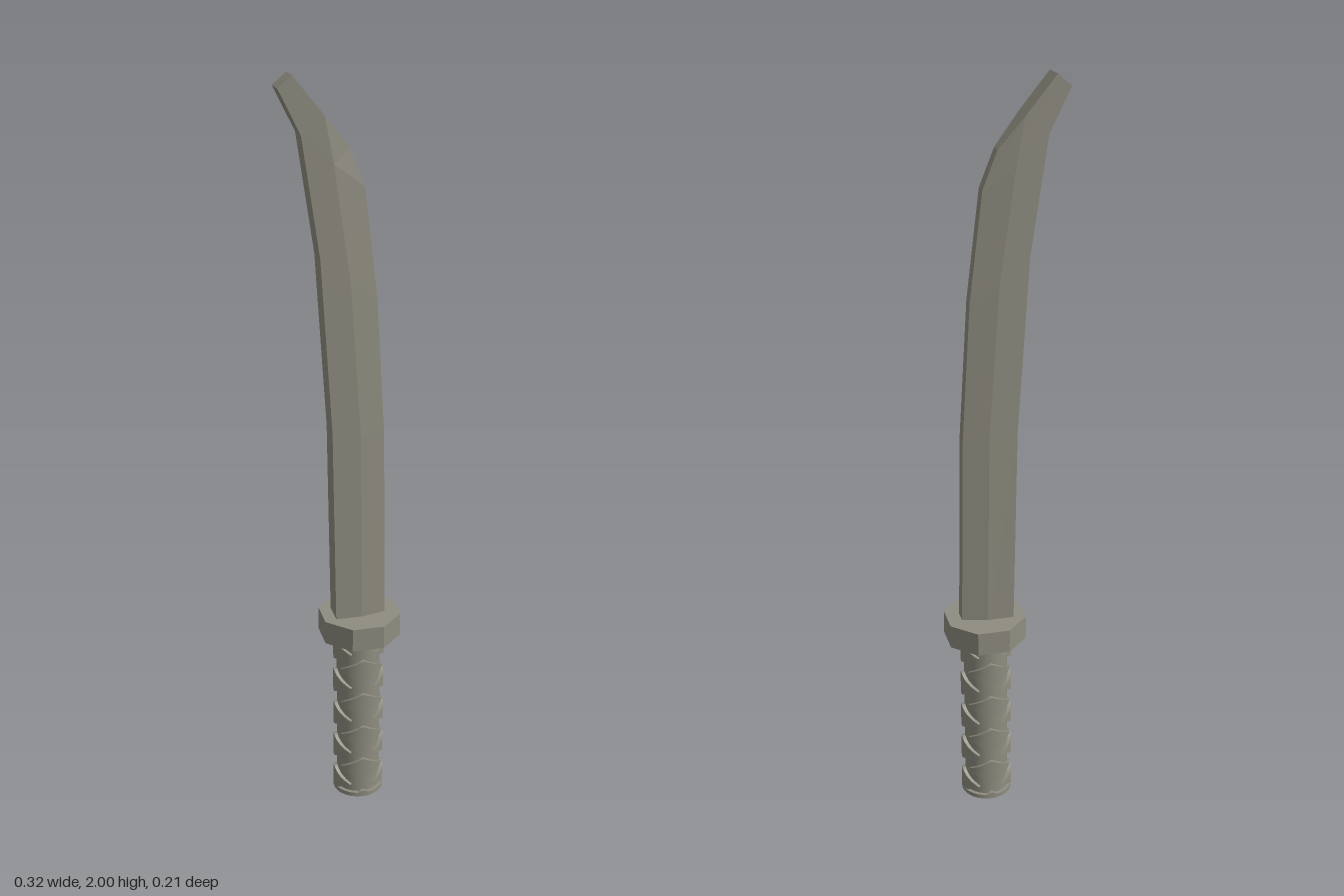
import * as THREE from 'three';

const AXIS_X = 0.05; // centre line of the grip
const HANDLE_TOP = 0.5;

const smooth = new THREE.MeshStandardMaterial({ color: 0x8f8d80 });
const flat = new THREE.MeshStandardMaterial({ color: 0x8f8d80, flatShading: true });

function add(parent, name, geometry, material) {
  const mesh = new THREE.Mesh(geometry, material);
  mesh.name = name;
  parent.add(mesh);
  return mesh;
}

// Blade: six-sided cross-sections, thick at the spine and bevelled to the edge
function bladeGeometry() {
  const T = 0.035, E = 0.018;
  // spine [x, y], ridge [x, y], edge [x, y], half thickness at the edge
  const stations = [
    [[-0.02, 0.52], [0.052, 0.52], [0.12, 0.52], E],
    [[-0.03, 1.1], [0.045, 1.09], [0.112, 1.08], E],
    [[-0.06, 1.56], [0.017, 1.5], [0.09, 1.45], E],
    [[-0.105, 1.86], [-0.025, 1.79], [0.056, 1.73], E],
    [[-0.105, 1.86], [-0.047, 1.905], [0.018, 1.825], E],
    [[-0.105, 1.86], [-0.047, 1.905], [-0.047, 1.905], T],
    [[-0.16, 1.97], [-0.125, 2], [-0.125, 2], T],
  ];
  const positions = [], index = [];
  for (const [s, r, e, t] of stations) {
    positions.push(...s, -T, ...r, -T, ...e, -t, ...e, t, ...r, T, ...s, T);
  }
  for (let i = 0; i < stations.length - 1; i++) {
    for (let j = 0; j < 6; j++) {
      const a = i * 6 + j, b = i * 6 + (j + 1) % 6;
      index.push(b, a, a + 6, b, a + 6, b + 6);
    }
  }
  // end caps
  const last = (stations.length - 1) * 6;
  for (let j = 1; j < 5; j++) {
    index.push(0, j, j + 1, last, last + j + 1, last + j);
  }
  const g = new THREE.BufferGeometry();
  g.setAttribute('position', new THREE.Float32BufferAttribute(positions, 3));
  g.setIndex(index);
  g.computeVertexNormals();
  return g;
}

// Raised diamond of the grip wrap, bent round the handle and cut at its ends
function diamondGeometry(angle, yc) {
  const halfAngle = Math.PI / 3, halfHeight = 0.036;
  const g = new THREE.BoxGeometry(2, 2, 1, 12, 1, 1);
  const p = g.attributes.position;
  for (let i = 0; i < p.count; i++) {
    const u = p.getX(i);
    const a = angle + u * halfAngle;
    const r = p.getZ(i) > 0 ? 0.07 : 0.05;
    const y = yc + p.getY(i) * halfHeight * (1 - Math.abs(u));
    p.setXYZ(i, r * Math.sin(a), THREE.MathUtils.clamp(y, 0, HANDLE_TOP), r * Math.cos(a));
  }
  g.computeVertexNormals();
  return g;
}

export function createModel() {
  const sword = new THREE.Group();
  sword.name = 'sword';

  add(sword, 'blade', bladeGeometry(), flat);

  // Octagonal guard
  const guard = add(sword, 'guard',
    new THREE.CylinderGeometry(0.1137, 0.1137, 0.065, 8).rotateY(Math.PI / 8), flat);
  guard.position.set(AXIS_X + 0.002, 0.5275, 0);

  // Handle: plain core with staggered rows of diamonds leaving crossed grooves
  const handle = new THREE.Group();
  handle.name = 'handle';
  handle.position.x = AXIS_X;
  sword.add(handle);
  add(handle, 'handleCore',
    new THREE.CylinderGeometry(0.06, 0.06, HANDLE_TOP, 32), smooth).position.y = HANDLE_TOP / 2;
  add(handle, 'pommel', new THREE.CylinderGeometry(0.07, 0.07, 0.012, 32), smooth).position.y = 0.006;

  const pitch = 0.105;
  for (let side = 0; side < 4; side++) {
    const facesFront = side % 2 === 0;
    const start = facesFront ? -0.0165 : 0.036;
    const rows = facesFront ? 6 : 5;
    for (let k = 0; k < rows; k++) {
      add(handle, 'wrapDiamond', diamondGeometry(side * Math.PI / 2, start + k * pitch), smooth);
    }
  }
  return sword;
}
